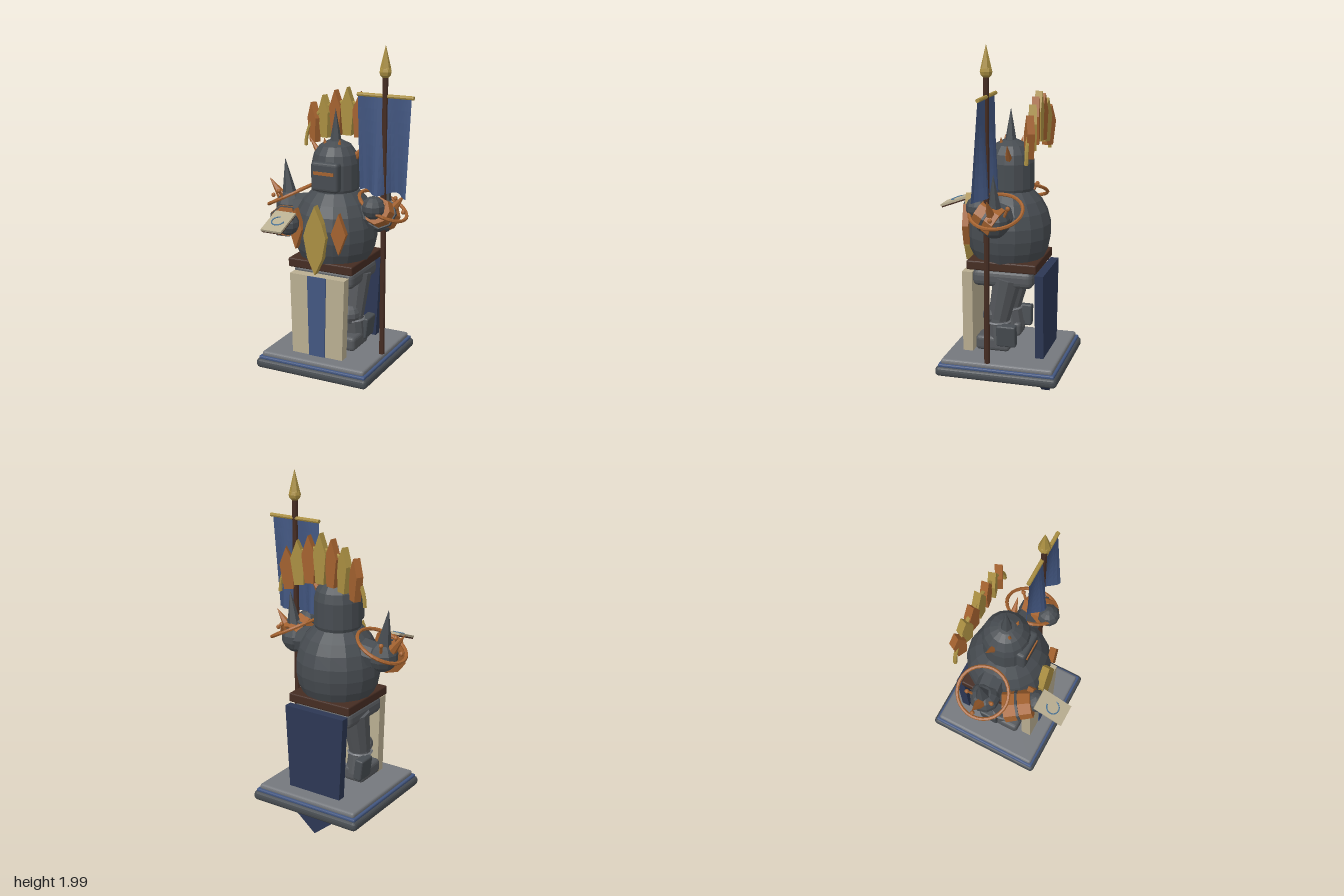
import * as THREE from 'three';
import { RoundedBoxGeometry } from 'three/addons/geometries/RoundedBoxGeometry.js';

const mat = (name, color, side = THREE.FrontSide) => {
  const m = new THREE.MeshStandardMaterial({ color, side });
  m.name = name;
  return m;
};

export function createModel() {
  const M = {
    steel: mat('dark steel', 0x474c51), iron: mat('leg iron', 0x54575b),
    stone: mat('stone grey', 0x75787d), navy: mat('navy', 0x2c3754),
    blue: mat('banner blue', 0x425680, THREE.DoubleSide), cream: mat('cream', 0xb9ae91),
    gold: mat('gold', 0xaa8f42), copper: mat('copper', 0xa4622f),
    wood: mat('dark wood', 0x452c22), pale: mat('pale blue', 0x4d7698),
  };
  const root = new THREE.Group();
  root.name = 'armouredGuardian';
  const CX = -0.03, CZ = -0.05;           // body axis
  const V = (x, y, z) => new THREE.Vector3(x, y, z);

  // Faceted mesh: every face gets its own normal
  const add = (name, geo, m, x = 0, y = 0, z = 0, parent = root) => {
    const g = geo.index ? geo.toNonIndexed() : geo;
    g.computeVertexNormals();
    const mesh = new THREE.Mesh(g, m);
    mesh.name = name;
    mesh.position.set(x, y, z);
    parent.add(mesh);
    return mesh;
  };
  const rbox = (w, h, d, r = 0.012) => new RoundedBoxGeometry(w, h, d, 2, r);
  const ball = (r, ws = 10, hs = 7) => new THREE.SphereGeometry(r, ws, hs);
  // Tapered cylinder from a to b
  const limb = (name, a, b, ra, rb, m, sides = 10, parent = root) => {
    const d = b.clone().sub(a);
    const mesh = add(name, new THREE.CylinderGeometry(rb, ra, d.length(), sides), m, 0, 0, 0, parent);
    mesh.position.copy(a).add(b).multiplyScalar(0.5);
    mesh.quaternion.setFromUnitVectors(V(0, 1, 0), d.normalize());
    return mesh;
  };
  // Flat outline given as [x, y] points, extruded and centred in depth
  const slab = (pts, depth) => {
    const s = new THREE.Shape(pts.map(p => new THREE.Vector2(p[0], p[1])));
    return new THREE.ExtrudeGeometry(s, { depth, bevelEnabled: false }).translate(0, 0, -depth / 2);
  };

  // Plinth
  add('plinthLower', rbox(0.69, 0.055, 0.69, 0.022), M.steel, -0.025, 0.198, -0.055);
  add('plinthTrim', rbox(0.662, 0.02, 0.662, 0.008), M.blue, -0.025, 0.23, -0.055);
  add('plinthUpper', rbox(0.635, 0.034, 0.635, 0.014), M.stone, -0.025, 0.249, -0.055);

  // Hanging panels
  add('frontPanel', slab([[-0.168, 0.735], [-0.155, 0.255], [0, 0.135], [0.155, 0.255], [0.168, 0.735]], 0.058),
    M.cream, CX, 0, 0.153);
  add('frontStripe', slab([[-0.058, 0.735], [-0.047, 0.2], [0.047, 0.2], [0.058, 0.735]], 0.006),
    M.blue, CX, 0, 0.185);
  add('backPanel', slab([[-0.19, 0.75], [-0.16, 0.14], [0, 0.008], [0.16, 0.14], [0.19, 0.75]], 0.048),
    M.navy, CX + 0.003, 0, -0.263);

  // Legs
  add('hips', rbox(0.37, 0.1, 0.345, 0.035), M.iron, CX, 0.71, CZ);
  for (const s of [-1, 1]) {
    const leg = new THREE.Group();
    leg.name = s > 0 ? 'leftLeg' : 'rightLeg';
    leg.position.x = CX + s * 0.125;
    root.add(leg);
    limb('thigh', V(0, 0.71, -0.07), V(0, 0.47, -0.02), 0.082, 0.062, M.iron, 10, leg);
    limb('shin', V(0, 0.48, -0.015), V(0, 0.33, -0.035), 0.062, 0.07, M.iron, 10, leg);
    add('knee', ball(0.058), M.iron, 0, 0.485, 0.015, leg);
    add('kneeBand', new THREE.TorusGeometry(0.066, 0.008, 5, 12).rotateX(Math.PI / 2), M.stone, 0, 0.45, -0.015, leg);
    add('calfPlate', rbox(0.05, 0.125, 0.11, 0.01), M.steel, s * 0.06, 0.39, -0.08, leg).rotation.z = -s * 0.12;
    add('foot', rbox(0.13, 0.085, 0.195, 0.022), M.iron, 0, 0.332, 0.003, leg);
  }

  // Torso and belt
  add('belt', rbox(0.395, 0.052, 0.395, 0.008), M.wood, CX, 0.784, CZ);
  const torso = [[0, 0.78], [0.19, 0.79], [0.222, 0.86], [0.236, 0.93], [0.234, 1.0], [0.215, 1.07],
    [0.182, 1.13], [0.13, 1.185], [0, 1.2]].map(p => new THREE.Vector2(p[0], p[1]));
  add('torso', new THREE.LatheGeometry(torso, 16), M.steel, CX + 0.003, 0, CZ + 0.005);
  add('chestCrest', slab([[0, 0.195], [0.045, 0.095], [0.068, 0.02], [0.045, -0.1], [0, -0.195],
    [-0.045, -0.1], [-0.068, 0.02], [-0.045, 0.095]], 0.042), M.gold, CX, 0.95, 0.187);
  for (const s of [-1, 1])
    add('chestDiamond', slab([[0, 0.115], [0.043, 0], [0, -0.115], [-0.043, 0]], 0.035),
      M.copper, CX + s * 0.13, 0.995, 0.165).rotation.y = s * 0.1;

  // Helmet
  const helm = [[0, 1.17], [0.125, 1.18], [0.132, 1.2], [0.132, 1.34], [0.12, 1.39], [0.088, 1.435],
    [0.045, 1.458], [0, 1.465]].map(p => new THREE.Vector2(p[0], p[1]));
  add('helmet', new THREE.LatheGeometry(helm, 16), M.steel, CX, 0, CZ - 0.002);
  add('visor', rbox(0.165, 0.165, 0.06, 0.018), M.steel, CX, 1.278, 0.066);
  add('visorSlit', new THREE.BoxGeometry(0.12, 0.018, 0.008), M.copper, CX, 1.3, 0.098);
  add('helmetSpike', new THREE.ConeGeometry(0.036, 0.2, 6), M.steel, CX, 1.535, CZ - 0.002);
  for (const s of [-1, 1]) {
    limb('helmetHorn', V(CX + s * 0.1, 1.36, -0.068), V(CX + s * 0.175, 1.455, -0.078), 0.024, 0.001, M.copper, 6);
    limb('browStud', V(CX + s * 0.04, 1.43, -0.012), V(CX + s * 0.048, 1.475, -0.008), 0.016, 0.002, M.copper, 5);
  }

  // Feathered fan behind the head
  const fan = new THREE.Group();
  fan.name = 'featherFan';
  fan.position.set(CX, 0, -0.208);
  root.add(fan);
  add('fanHoop', new THREE.TorusGeometry(0.27, 0.011, 6, 24, Math.PI), M.gold, 0, 1.375, 0, fan);
  for (let i = -3; i <= 3; i++) {
    const k = Math.abs(i), len = 0.27 - k * 0.014;
    const f = add('feather', slab([[-0.025, 0], [0.025, 0], [0.04, len * 0.6], [0, len], [-0.04, len * 0.6]], 0.04),
      k % 2 ? M.copper : M.gold, i * 0.07, 1.46 - 0.0065 * k * k, 0, fan);
    f.rotation.set(0, i * 0.16, -i * 0.02);
  }

  // Shoulders with spike, horn, hoop and studs
  for (const s of [-1, 1]) {
    const sh = new THREE.Group();
    sh.name = s > 0 ? 'leftShoulder' : 'rightShoulder';
    sh.position.set(-0.025 + s * 0.285, 0, CZ);
    root.add(sh);
    add('shoulderPlate', ball(0.085), M.steel, 0, 1.06, 0.01, sh);
    limb('upperArm', V(-s * 0.12, 1.07, 0), V(0, 1.05, 0.01), 0.075, 0.075, M.steel, 8, sh);
    limb('shoulderSpike', V(s * 0.01, 1.12, 0.005), V(s * 0.036, 1.325, 0.005), 0.042, 0.001, M.steel, 6, sh);
    limb('shoulderHorn', V(s * 0.05, 1.1, 0.012), V(s * 0.135, 1.205, 0.012), 0.032, 0.001, M.copper, 6, sh);
    const hoop = add('shoulderHoop', new THREE.TorusGeometry(0.143, 0.01, 6, 28).rotateX(Math.PI / 2),
      M.copper, 0, 1.122, 0, sh);
    hoop.rotation.z = -s * 0.47;
    for (const [x, y, z] of [[0.04, 1.15, -0.075], [0.04, 1.15, 0.075], [0.12, 1.1, 0]])
      add('shoulderStud', ball(0.013, 8, 6), M.copper, s * x, y, z, sh);
    for (const z of [-0.075, 0.075])
      limb('studStem', V(s * 0.02, 1.09, z * 0.6), V(s * 0.04, 1.15, z), 0.009, 0.007, M.copper, 6, sh);
  }

  // Forearms: copper cuff, steel band and fist
  const forearm = (name, elbow, wrist, fist) => {
    const arm = new THREE.Group();
    arm.name = name;
    root.add(arm);
    limb('cuff', elbow, wrist, 0.088, 0.078, M.copper, 8, arm);
    const mid = elbow.clone().lerp(wrist, 0.5), d = wrist.clone().sub(elbow).normalize().multiplyScalar(0.007);
    limb('cuffBand', mid.clone().sub(d), mid.clone().add(d), 0.09, 0.09, M.steel, 8, arm);
    add('fist', ball(0.064), M.steel, fist.x, fist.y, fist.z, arm);
  };
  forearm('rightForearm', V(-0.29, 1.0, 0.07), V(-0.215, 1.03, 0.2), V(-0.19, 1.03, 0.21));
  forearm('leftForearm', V(0.275, 1.06, -0.06), V(0.265, 1.12, 0.045), V(0.25, 1.135, 0.055));

  // Tablet with crescent mark
  const tablet = new THREE.Group();
  tablet.name = 'tablet';
  tablet.position.set(-0.192, 1.06, 0.31);
  tablet.rotation.x = 0.36;
  root.add(tablet);
  add('tabletFace', new THREE.BoxGeometry(0.123, 0.012, 0.178), M.cream, 0, 0.005, 0, tablet);
  add('tabletBack', new THREE.BoxGeometry(0.117, 0.008, 0.172), M.wood, 0, -0.005, 0, tablet);
  add('crescent', new THREE.TorusGeometry(0.036, 0.004, 5, 20, 4.6).rotateZ(1.6).rotateX(-Math.PI / 2),
    M.pale, 0, 0.012, 0, tablet);

  // Standard: pole, finial, crossbar and rippling cloth
  const PX = 0.284, PZ = -0.005;
  add('pole', new THREE.CylinderGeometry(0.016, 0.016, 1.56, 8), M.wood, PX, 1.05, PZ);
  add('finialKnob', ball(0.034, 8, 6), M.gold, PX, 1.86, PZ);
  add('finialTip', new THREE.ConeGeometry(0.03, 0.125, 6), M.gold, PX, 1.9375, PZ);
  add('crossbar', new THREE.CylinderGeometry(0.011, 0.011, 0.325, 8).rotateZ(Math.PI / 2), M.gold, PX, 1.732, -0.008);
  const cloth = new THREE.PlaneGeometry(0.31, 0.525, 16, 8), p = cloth.attributes.position;
  for (let i = 0; i < p.count; i++) {
    const t = 0.5 - p.getY(i) / 0.525, x = p.getX(i) + 0.28;
    const wave = Math.cos((x - 0.25) / 0.19 * Math.PI * 2);
    p.setXYZ(i, x - t * 0.05 * (x - 0.28), 1.728 - t * (0.525 + 0.008 * wave), -0.004 + t * (0.006 + 0.036 * wave));
  }
  add('bannerCloth', cloth, M.blue);

  return root;
}
